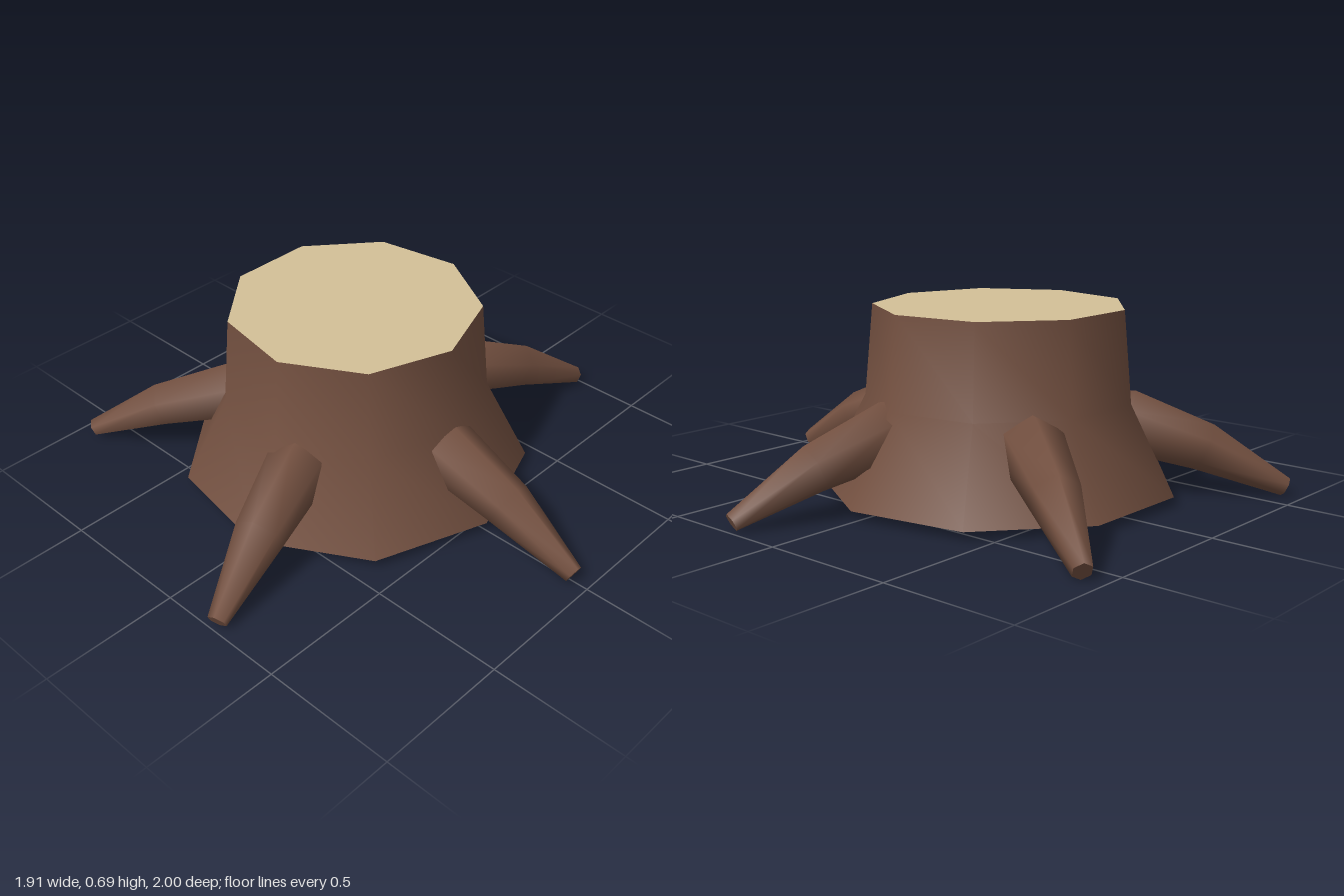
import * as THREE from 'three';

const CENTER_X = -0.095;

// Smooth six-sided root: each section is [distance from centre, height, radius, tilt]
function rootGeometry(sections, sides = 6) {
  const pos = [], index = [];
  for (const [d, y, r, tilt] of sections) {
    for (let i = 0; i < sides; i++) {
      const a = (i / sides) * Math.PI * 2;
      const up = Math.cos(a) * r;
      pos.push(d + up * Math.sin(tilt), y + up * Math.cos(tilt), Math.sin(a) * r);
    }
  }
  for (let s = 0; s < sections.length - 1; s++) {
    for (let i = 0; i < sides; i++) {
      const a = s * sides + i, b = s * sides + ((i + 1) % sides);
      index.push(a, b, a + sides, b, b + sides, a + sides);
    }
  }
  // Flat tip with its own vertices, to keep the rim sharp
  const last = (sections.length - 1) * sides, first = pos.length / 3;
  for (let i = 0; i < sides; i++) pos.push(...pos.slice((last + i) * 3, (last + i) * 3 + 3));
  for (let i = 1; i < sides - 1; i++) index.push(first, first + i, first + i + 1);
  const g = new THREE.BufferGeometry();
  g.setAttribute('position', new THREE.Float32BufferAttribute(pos, 3));
  g.setIndex(index);
  g.computeVertexNormals();
  return g;
}

export function createModel() {
  const bark = new THREE.MeshStandardMaterial({ color: 0x735040, side: THREE.DoubleSide });
  bark.name = 'bark brown';
  const wood = new THREE.MeshStandardMaterial({ color: 0xd3c097, side: THREE.DoubleSide });
  wood.name = 'cut wood tan';

  const stump = new THREE.Group();
  stump.name = 'treeStump';
  stump.position.x = CENTER_X;

  // Nine-sided trunk, flared at the foot and open below
  const profile = [[0.652, 0.035], [0.49, 0.355], [0.46, 0.687]].map(([r, y]) => new THREE.Vector2(r, y));
  const trunk = new THREE.Mesh(new THREE.LatheGeometry(profile, 9, Math.PI / 2), bark);
  trunk.name = 'trunk';
  stump.add(trunk);

  // Cut face
  const cutGeometry = new THREE.CircleGeometry(0.46, 9).rotateX(-Math.PI / 2);
  const cut = new THREE.Mesh(cutGeometry, wood);
  cut.name = 'cutTop';
  cut.position.y = 0.687;
  stump.add(cut);

  // Five roots spreading from the middle of the trunk
  const geometry = rootGeometry([
    [0, 0.3, 0.06, 0.1],
    [0.46, 0.265, 0.117, 0.26],
    [0.74, 0.175, 0.09, 0.4],
    [1.035, 0.033, 0.035, 0.47],
  ]);
  for (let i = 0; i < 5; i++) {
    const root = new THREE.Mesh(geometry, bark);
    root.name = `root${i + 1}`;
    root.rotation.y = (i / 5) * Math.PI * 2;
    stump.add(root);
  }

  const model = new THREE.Group();
  model.name = 'stumpModel';
  model.add(stump);
  return model;
}
